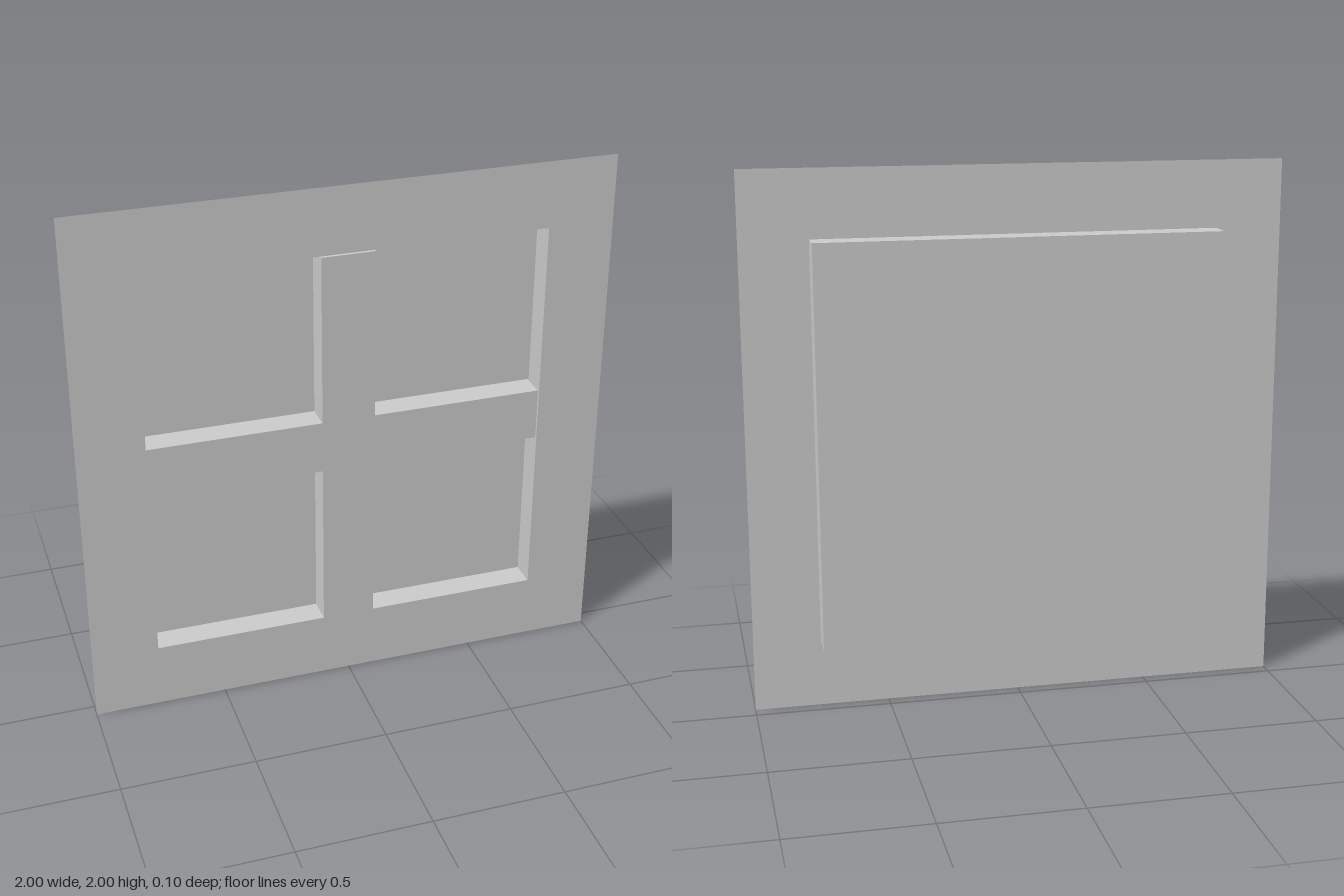
import * as THREE from 'three';

const HALF = 0.75;    // half width of the recess
const DEPTH = 0.1;    // depth of the recess
const BAR = 0.1;      // half width of a glazing bar
const GAP = 0.005;    // hairline gap at the top and left bar ends

const material = new THREE.MeshStandardMaterial({
  color: 0xcccccc, side: THREE.DoubleSide, flatShading: true,
});

const rectangle = (Type, h) => new Type([[-h, -h], [h, -h], [h, h], [-h, h]]
  .map(([x, y]) => new THREE.Vector2(x, y)));

export function createModel() {
  const group = new THREE.Group();
  group.name = 'window';

  const add = (name, geometry, x, y, z) => {
    const mesh = new THREE.Mesh(geometry, material);
    mesh.name = name;
    mesh.position.set(x, y, z);
    group.add(mesh);
    return mesh;
  };

  // Paper-thin surround with a square opening
  const plate = rectangle(THREE.Shape, 1);
  plate.holes.push(rectangle(THREE.Path, HALF));
  add('wallPlate', new THREE.ShapeGeometry(plate), 0, 1, DEPTH / 2);

  // Recessed pane and the four reveals around it
  add('pane', new THREE.PlaneGeometry(2 * HALF, 2 * HALF), 0, 1, -DEPTH / 2);
  for (const side of [-1, 1]) {
    add(side > 0 ? 'leftReveal' : 'rightReveal',
      new THREE.PlaneGeometry(DEPTH, 2 * HALF), side * HALF, 1, 0).rotation.y = -side * Math.PI / 2;
    add(side > 0 ? 'topReveal' : 'bottomReveal',
      new THREE.PlaneGeometry(2 * HALF, DEPTH), 0, 1 + side * HALF, 0).rotation.x = side * Math.PI / 2;
  }

  // Cross of glazing bars, flush with the surround
  const end = HALF - GAP;
  const cross = new THREE.Shape([
    [-BAR, -HALF], [BAR, -HALF], [BAR, -BAR], [end, -BAR], [end, BAR], [BAR, BAR],
    [BAR, end], [-BAR, end], [-BAR, BAR], [-HALF, BAR], [-HALF, -BAR], [-BAR, -BAR],
  ].map(([x, y]) => new THREE.Vector2(x, y)));
  add('glazingBars', new THREE.ExtrudeGeometry(cross, { depth: DEPTH, bevelEnabled: false }),
    0, 1, -DEPTH / 2);

  return group;
}
